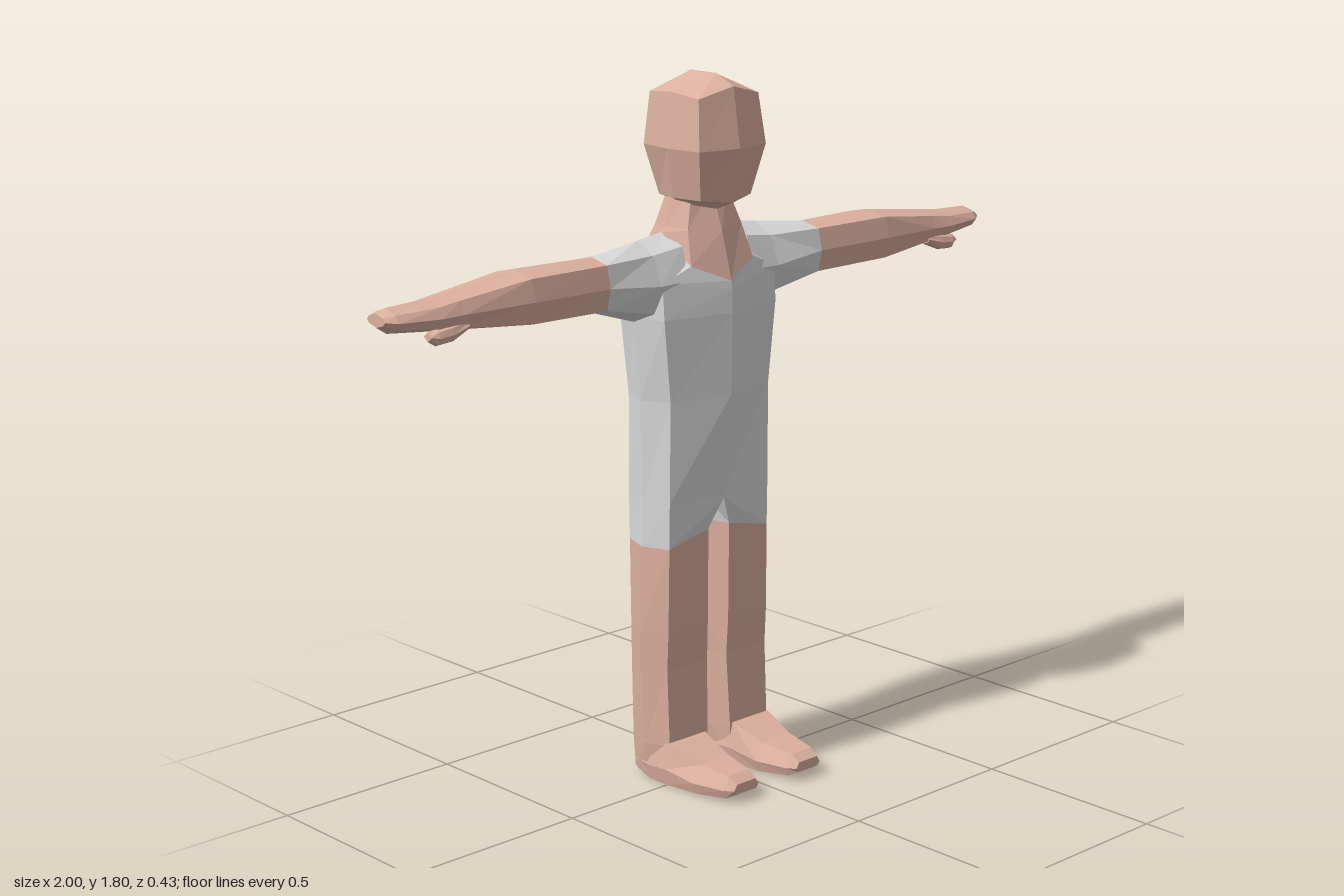
import * as THREE from 'three';

const skin = new THREE.MeshStandardMaterial({ color: 0xdcb09f, flatShading: true });
skin.name = 'skin';
const cloth = new THREE.MeshStandardMaterial({ color: 0xd9d9d9, flatShading: true });
cloth.name = 'greyCloth';

// Skin a list of equal-length loops; both ends are capped and faces turned outward.
function loft(name, rings, material) {
  const tris = [];
  const n = rings[0].length;
  for (let i = 0; i < rings.length - 1; i++) {
    for (let j = 0; j < n; j++) {
      const k = (j + 1) % n;
      const [a, b, c, d] = [rings[i][j], rings[i][k], rings[i + 1][k], rings[i + 1][j]];
      tris.push([a, b, c], [a, c, d]);
    }
  }
  const cap = (ring, flip) => {
    const mid = [0, 1, 2].map(q => ring.reduce((s, p) => s + p[q], 0) / n);
    ring.forEach((p, j) => {
      const next = ring[(j + 1) % n];
      tris.push(flip ? [mid, next, p] : [mid, p, next]);
    });
  };
  cap(rings[0], true);
  cap(rings[rings.length - 1], false);
  const vec = p => new THREE.Vector3(...p);
  const volume = tris.reduce((s, [a, b, c]) => s + vec(a).dot(vec(b).cross(vec(c))), 0);
  if (volume < 0) tris.forEach(t => t.reverse());
  const geometry = new THREE.BufferGeometry();
  geometry.setAttribute('position', new THREE.Float32BufferAttribute(tris.flat(2), 3));
  geometry.computeVertexNormals();
  const mesh = new THREE.Mesh(geometry, material);
  mesh.name = name;
  return mesh;
}

// Full loop from a half: front centre, front edge, side, back edge, back centre
const whole = half => [...half, ...half.slice(1, 4).reverse().map(([x, y, z]) => [-x, y, z])];

// Level body loop from its widths and depths
const band = (y, xEdge, xSide, zFront, zEdge, zBackEdge, zBack) => whole([
  [0, y, zFront], [xEdge, y, zEdge], [xSide, y, (zEdge + zBackEdge) / 2],
  [xEdge, y, zBackEdge], [0, y, zBack],
]);

// Chamfered arm loop at a given x
function armRing(x, top, bottom, front, back, bevel = 0.013) {
  const y = (top + bottom) / 2, z = (front + back) / 2;
  return [
    [x, top, z], [x, top - bevel, front - bevel], [x, y, front], [x, bottom + bevel, front - bevel],
    [x, bottom, z], [x, bottom + bevel, back + bevel], [x, y, back], [x, top - bevel, back + bevel],
  ];
}

// Six-sided leg loop: front inner, front outer, outer, back outer, back inner, inner
const legRing = (y, inner, innerEdge, outerEdge, outer, front, back, rise = 0) => [
  [innerEdge, y + rise, front], [outerEdge, y, front], [outer, y, (front + back) / 2],
  [outerEdge, y, back], [innerEdge, y + rise, back], [inner, y + rise, (front + back) / 2],
];

// Foot loop at a given z, narrower at the sole and on top
const footRing = (z, x0, x1, sole, top, inset = 0.015) => {
  const mid = sole + (top - sole) * 0.4;
  return [
    [x0 + 0.008, sole, z], [x1 - 0.008, sole, z], [x1, mid, z],
    [x1 - inset, top, z], [x0 + inset, top, z], [x0, mid, z],
  ];
};

export function createModel() {
  const model = new THREE.Group();
  model.name = 'figure';

  // Scooped neckline shared by the shirt and the neck
  const neckline = whole([
    [0, 1.29, 0.046], [0.105, 1.335, 0.012], [0.125, 1.41, -0.07], [0.105, 1.345, -0.17], [0, 1.3, -0.205],
  ]);

  model.add(loft('torso', [
    whole([[0, 0.73, 0.018], [0.17, 0.74, 0.002], [0.195, 0.74, -0.07], [0.17, 0.74, -0.15], [0, 0.73, -0.162]]),
    band(1.0, 0.168, 0.2, 0.045, 0.005, -0.15, -0.2),
    band(1.21, 0.19, 0.215, 0.05, 0.008, -0.155, -0.214),
    whole([[0, 1.27, 0.048], [0.19, 1.3, 0.002], [0.2, 1.34, -0.07], [0.19, 1.3, -0.155], [0, 1.28, -0.208]]),
    neckline,
  ], cloth));

  model.add(loft('neck', [
    neckline,
    whole([[0, 1.41, 0.012], [0.09, 1.42, -0.015], [0.115, 1.425, -0.07], [0.085, 1.42, -0.14], [0, 1.42, -0.165]]),
    band(1.51, 0.06, 0.085, -0.025, -0.035, -0.12, -0.14),
  ], skin));

  model.add(loft('head', [
    whole([[0, 1.46, -0.015], [0.06, 1.475, -0.03], [0.07, 1.48, -0.07], [0.06, 1.485, -0.11], [0, 1.485, -0.13]]),
    whole([[0, 1.485, 0.05], [0.085, 1.495, 0.025], [0.097, 1.495, -0.06], [0.08, 1.495, -0.13], [0, 1.49, -0.147]]),
    band(1.62, 0.112, 0.125, 0.075, 0.05, -0.15, -0.18),
    whole([[0, 1.77, 0.052], [0.1, 1.745, 0.035], [0.11, 1.757, -0.055], [0.1, 1.75, -0.14], [0, 1.768, -0.165]]),
    whole([[0, 1.797, -0.01], [0.005, 1.796, -0.02], [0.005, 1.796, -0.055], [0.005, 1.796, -0.09], [0, 1.797, -0.1]]),
  ], skin));

  // Limbs, built once for +x and mirrored
  for (const [side, s] of [['left', 1], ['right', -1]]) {
    const limb = (name, rings, material) =>
      model.add(loft(side + name, rings.map(r => r.map(([x, y, z]) => [x * s, y, z])), material));

    const cuff = armRing(0.36, 1.382, 1.245, 0.005, -0.132);
    limb('Sleeve', [
      armRing(0.11, 1.412, 1.19, 0.015, -0.175, 0.03),
      armRing(0.2, 1.4, 1.195, 0.01, -0.165, 0.03),
      cuff,
    ], cloth);
    limb('Arm', [
      cuff,
      armRing(0.6, 1.384, 1.25, 0.015, -0.14),
      armRing(0.8, 1.36, 1.27, 0.002, -0.125),
      armRing(0.86, 1.352, 1.276, 0, -0.122),
      armRing(0.975, 1.348, 1.288, -0.012, -0.11),
      armRing(1.0, 1.338, 1.305, -0.03, -0.098, 0.008),
    ], skin);
    limb('Thumb', [
      armRing(0.78, 1.3, 1.272, -0.004, -0.05, 0.006),
      armRing(0.83, 1.295, 1.252, 0.002, -0.045, 0.006),
      armRing(0.87, 1.29, 1.25, 0.002, -0.04, 0.006),
      armRing(0.89, 1.285, 1.262, -0.006, -0.034, 0.006),
    ], skin);

    const hem = legRing(0.622, 0.012, 0.036, 0.17, 0.197, 0, -0.148, 0.03);
    limb('ShortsLeg', [
      [[0, 0.73, 0.018], [0.17, 0.74, 0.002], [0.195, 0.74, -0.07],
        [0.17, 0.74, -0.15], [0, 0.73, -0.162], [0, 0.73, -0.07]],
      hem,
    ], cloth);
    limb('Leg', [
      hem,
      legRing(0.4, 0.014, 0.036, 0.172, 0.204, -0.003, -0.143),
      legRing(0.3, 0.018, 0.034, 0.172, 0.202, -0.008, -0.142),
      legRing(0.1, 0.026, 0.04, 0.172, 0.195, 0, -0.138),
      legRing(0.012, 0.038, 0.046, 0.168, 0.184, -0.005, -0.135),
    ], skin);
    limb('Foot', [
      footRing(-0.13, 0.05, 0.172, 0.005, 0.08),
      footRing(-0.06, 0.034, 0.192, 0, 0.1),
      footRing(0.002, 0.034, 0.19, 0, 0.11),
      footRing(0.1, 0.036, 0.186, 0.005, 0.077, 0.025),
      footRing(0.19, 0.056, 0.166, 0.012, 0.068, 0.02),
      footRing(0.216, 0.068, 0.152, 0.026, 0.052, 0.01),
    ], skin);
  }
  return model;
}
